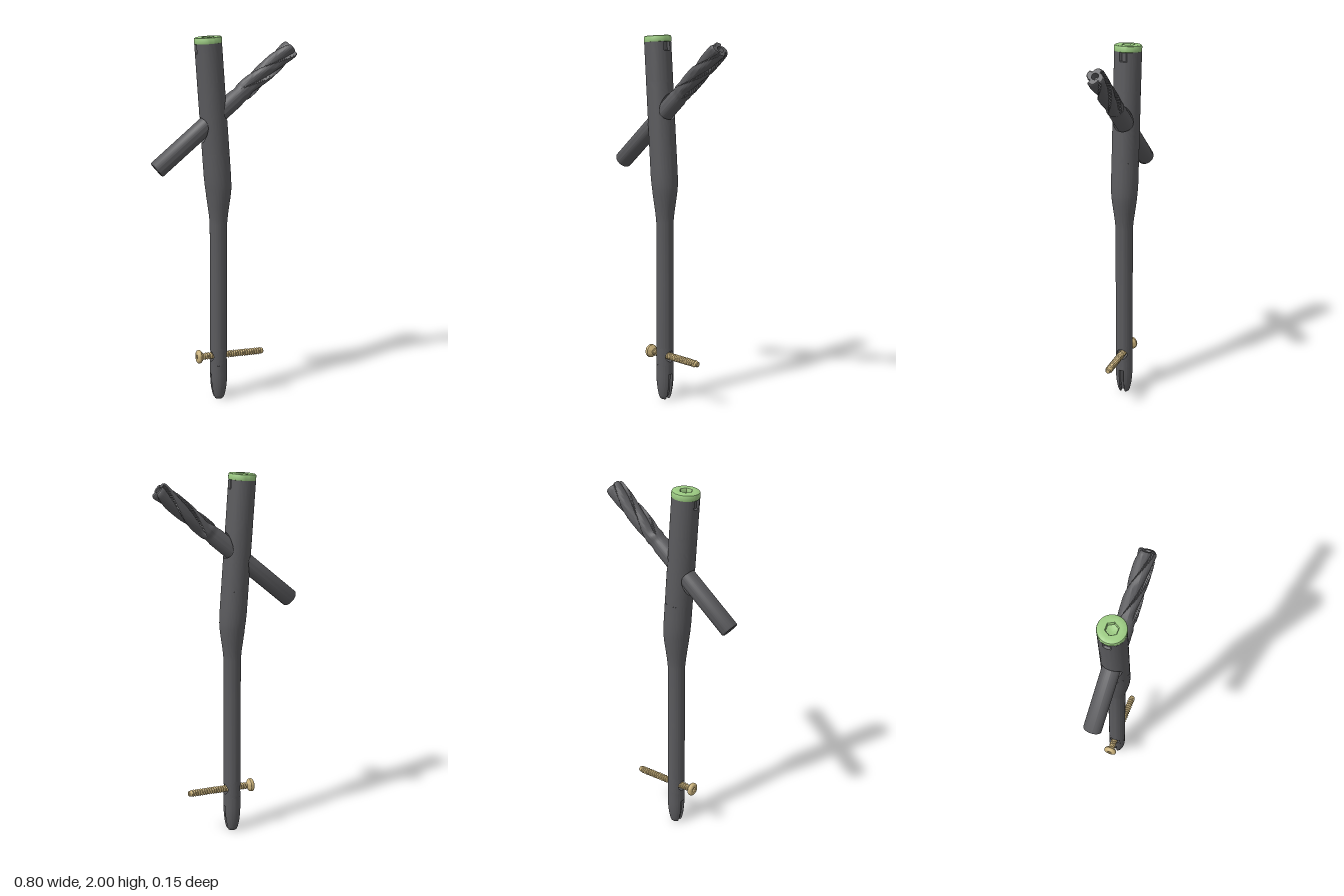
import * as THREE from 'three';
import { mergeGeometries, toCreasedNormals } from 'three/addons/utils/BufferGeometryUtils.js';

const TAU = Math.PI * 2;
const lerp = THREE.MathUtils.lerp;

// Surface from closed rings: fn(u, angle) gives a point, u = ring index
function rings(nu, nv, fn) {
  const pos = [], idx = [];
  for (let i = 0; i < nu; i++)
    for (let j = 0; j < nv; j++) pos.push(...fn(i, (j / nv) * TAU));
  for (let i = 0; i < nu - 1; i++)
    for (let j = 0; j < nv; j++) {
      const a = i * nv + j, b = i * nv + (j + 1) % nv, c = a + nv, d = b + nv;
      idx.push(a, c, d, a, d, b);
    }
  const g = new THREE.BufferGeometry();
  g.setAttribute('position', new THREE.Float32BufferAttribute(pos, 3));
  g.setIndex(idx);
  return g;
}

// Turned body along +y; stations are [height, radius, isHexagonal], shape may alter the radius
function turned(stations, nv, shape = (s, r) => r) {
  return toCreasedNormals(rings(stations.length, nv, (i, a) => {
    const [s, r0, hex] = stations[i];
    const r = hex ? r0 * Math.cos(Math.PI / 6) / Math.cos((a + 1e-9) % (Math.PI / 3) - Math.PI / 6) : shape(s, r0, a);
    return [r * Math.cos(a), s, r * Math.sin(a)];
  }), 0.6);
}

function steps(from, to, n, r) {
  return Array.from({ length: n + 1 }, (_, i) => [lerp(from, to, i / n), r]);
}

// Rod profile: straight below, swelling and leaning sideways above
const PROFILE = [[0, 0.022], [0.005, 0.028], [0.02, 0.034], [0.06, 0.042], [0.1, 0.046], [0.13, 0.047],
  [1.0, 0.047], [1.05, 0.052], [1.15, 0.066], [1.2, 0.071], [1.25, 0.073], [2, 0.072]];
function rodRadius(s) {
  let i = 1;
  while (i < PROFILE.length - 1 && PROFILE[i][0] < s) i++;
  const [a, ra] = PROFILE[i - 1], [b, rb] = PROFILE[i];
  return lerp(ra, rb, (s - a) / (b - a));
}

const LEAN = 0.07;
function rodPoint(s, a, r = rodRadius(s)) {
  const z0 = Math.abs(r * Math.sin(a));
  if (r > 0.025 && s < 0.147 && z0 < 0.012) r -= 0.011;   // side grooves at the foot
  if (s > 1.913 && z0 < 0.015) r -= 0.012;                // driver slots at the top
  const cx = -0.034 - LEAN * Math.max(0, s - 1.18);
  let y = s + LEAN * r * Math.cos(a) * THREE.MathUtils.smoothstep(s, 1.2, 1.38);
  if (s < 0.02 && z0 < 0.012) y = 0.024;                  // forked foot
  return [cx + r * Math.cos(a), y, r * Math.sin(a)];
}

// Stretch of rod between two heights, pierced by a round hole across x
function pierced(s0, s1, ax, ay, tilt, rh) {
  const N = 64, LAYERS = 9, mid = (s0 + s1) / 2, half = (s1 - s0) / 2;
  const outline = (side, phi) => {
    const base = side > 0 ? 0 : Math.PI;
    let s = ay, a = base;
    for (let k = 0; k < 12; k++) {
      a = base + Math.asin(rh * Math.sin(phi) / rodRadius(s));
      const p = rodPoint(s, a);
      const v = (p[1] - ay) * Math.cos(tilt) - (p[0] - ax) * Math.sin(tilt);
      s += (rh * Math.cos(phi) - v) / Math.cos(tilt);
    }
    return [s, a];
  };
  const parts = [1, -1].map(side => rings(LAYERS, N, (i, phi) => {
    const [s, a] = outline(side, phi), t = i / (LAYERS - 1);
    const dx = Math.sin(phi), dy = Math.cos(phi), m = Math.max(Math.abs(dx), Math.abs(dy));
    const edge = (side > 0 ? 0 : Math.PI) + (Math.PI / 2) * dx / m;
    return rodPoint(lerp(s, mid + half * dy / m, t), lerp(a, edge, t));
  }));
  // wall of the hole
  parts.push(rings(2, N, (i, phi) => rodPoint(...(i ? outline(1, phi) : outline(-1, -phi)))));
  return parts;
}

function rodRun(list) {
  return rings(list.length, 64, (i, a) => rodPoint(list[i][0], a, list[i][1]));
}

export function createModel() {
  const steel = new THREE.MeshStandardMaterial({ color: 0x5b5b5e, side: THREE.DoubleSide });
  steel.name = 'dark steel';
  const green = new THREE.MeshStandardMaterial({ color: 0x9ccb82 });
  green.name = 'green';
  const gold = new THREE.MeshStandardMaterial({ color: 0xc9b17b });
  gold.name = 'pale gold';

  const group = new THREE.Group();
  const add = (name, geometry, material, x, y, dir) => {
    const mesh = new THREE.Mesh(geometry, material);
    mesh.name = name;
    mesh.position.set(x, y, 0);
    if (dir) mesh.quaternion.setFromUnitVectors(new THREE.Vector3(0, 1, 0), dir.normalize());
    group.add(mesh);
    return mesh;
  };

  // Main rod with its two cross holes
  const foot = [[0, 0], [0, 0.011], [0, 0.017], [0, 0.022],
    ...[0.005, 0.019, 0.021, 0.04, 0.06, 0.08, 0.1, 0.13, 0.145, 0.148, 0.2].map(s => [s])];
  const middle = [0.3, 0.65, 1, 1.025, 1.05, 1.1, 1.15, 1.18, 1.2, 1.225, 1.25, 1.3, 1.34, 1.38].map(s => [s]);
  const top = [1.76, 1.85, 1.912, 1.915, 1.962].map(s => [s]);
  const tilt = Math.atan2(0.623, 0.743);
  const rod = mergeGeometries([
    rodRun(foot), ...pierced(0.2, 0.3, -0.034, 0.25, 0, 0.03),
    rodRun(middle), ...pierced(1.38, 1.76, -0.061, 1.566, tilt, 0.056),
    rodRun(top),
  ]);
  add('mainRod', toCreasedNormals(rod, 0.6), steel, 0, 0);

  // End cap with hexagonal socket
  add('endCap', turned([
    [-0.036, 0], [-0.036, 0.068], [-0.033, 0.072], [-0.03, 0.073], [-0.008, 0.073], [-0.003, 0.071],
    [0, 0.066], [0, 0.045], [0, 0.035, true], [-0.004, 0.032, true], [-0.022, 0.032, true], [-0.032, 0],
  ], 48), green, -0.09, 1.995, new THREE.Vector3(-LEAN, 1, 0));

  // Large oblique screw: plain shank, neck, twisted flutes and hollow tip
  const flute = (s, r, a) => {
    if (s < 0.615 || r < 0.03) return r;
    const f = ((((a + 9 * s) * 4 / TAU) % 1) + 1) % 1;
    const depth = 0.017 * THREE.MathUtils.smoothstep(s, 0.61, 0.66);
    return r - (f < 0.62 ? depth * (1 - f / 0.62) : 0);
  };
  add('obliqueScrew', turned([
    [0.035, 0], [0.035, 0.022, true], [0.004, 0.022, true], [0, 0.026], [0, 0.043], [0.003, 0.046], [0.007, 0.048],
    [0.3, 0.048], [0.565, 0.048], [0.585, 0.044], [0.605, 0.044], [0.618, 0.049],
    ...steps(0.63, 0.955, 30, 0.05),
    [0.966, 0.047], [0.97, 0.043], [0.97, 0.018], [0.925, 0.018], [0.925, 0],
  ], 96, flute), steel, -0.372, 1.306, new THREE.Vector3(0.743, 0.623, 0));

  // Small locking screw: rounded head with socket and a helical thread
  const PITCH = 0.0135;
  const thread = (s, r, a) => {
    if (s < 0.045 || s > 0.366) return r;
    const f = (s / PITCH + a / TAU) % 1;
    return r + 0.006 * (1 - Math.abs(2 * f - 1));
  };
  add('lockingScrew', turned([
    [0.018, 0], [0.016, 0.014, true], [0.002, 0.014, true], [0, 0.017], [0, 0.027], [0.003, 0.033], [0.008, 0.0365],
    [0.014, 0.037], [0.021, 0.036], [0.028, 0.029], [0.034, 0.02], [0.038, 0.016],
    ...steps(0.046, 0.366, 150, 0.0145),
    [0.369, 0.0165], [0.38, 0.015], [0.384, 0.011], [0.384, 0],
  ], 24, thread), gold, -0.16, 0.25, new THREE.Vector3(1, 0, 0));

  return group;
}
